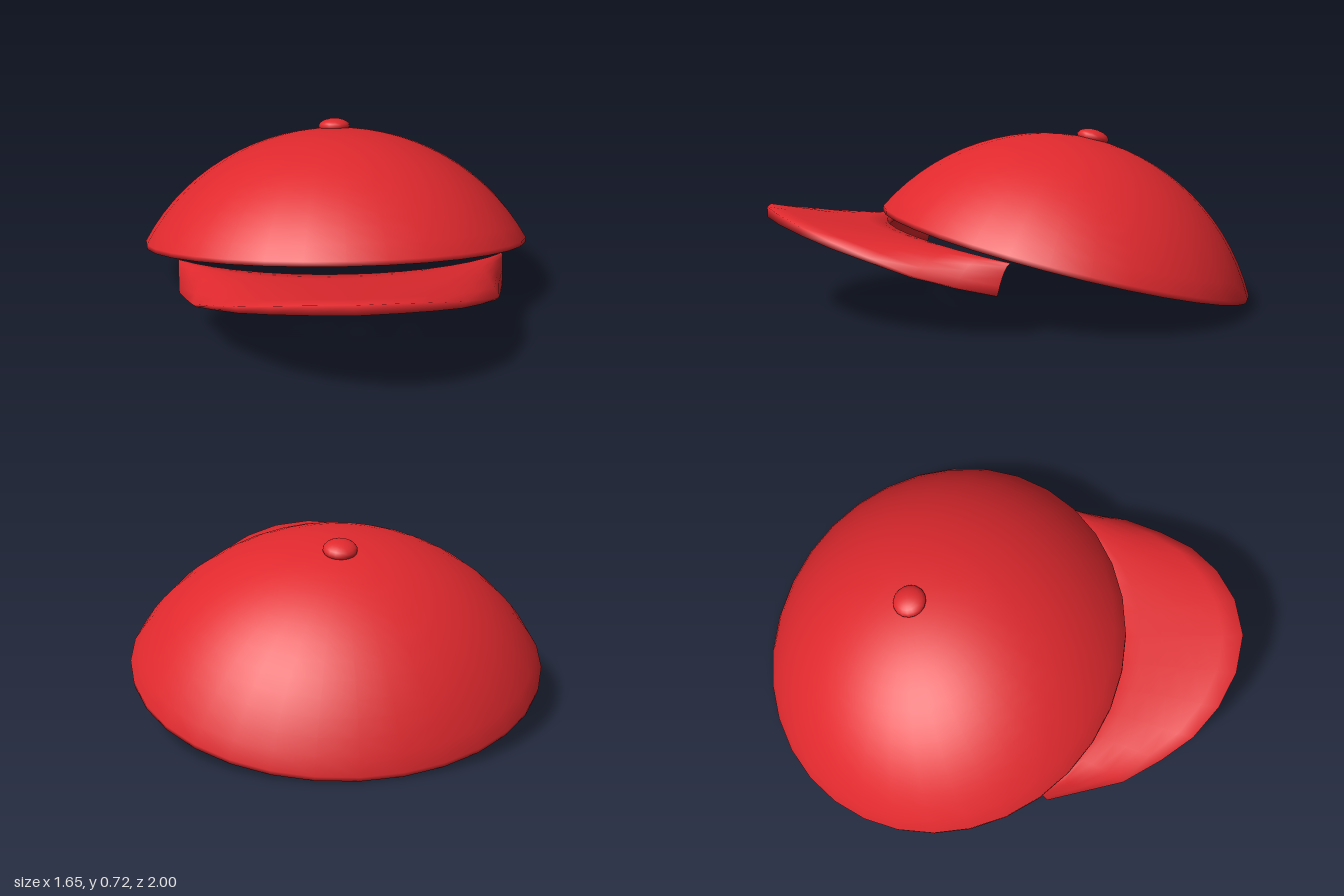
import * as THREE from 'three';

const red = new THREE.MeshStandardMaterial({ color: 0xe0292e });
const STEPS = 14, RIM_Y = 0.405, INNER_R = 0.858;

// Points on an arc from angle a0 to a1, measured from the pole
function arc(radius, a0, a1) {
  return Array.from({ length: STEPS + 1 }, (_, i) => {
    const a = THREE.MathUtils.lerp(a0, a1, i / STEPS);
    return new THREE.Vector2(radius * Math.sin(a), radius * Math.cos(a));
  });
}

// Sheet from the crown's rim to a rounded front edge that droops at the sides
function visorGeometry() {
  // x, y, z along the lower front edge
  const side = [[0.658, 0.158, 0.22], [0.624, 0.19, 0.37], [0.59, 0.232, 0.526], [0.508, 0.283, 0.675],
    [0.42, 0.325, 0.8], [0.3, 0.361, 0.9], [0.16, 0.385, 0.968]];
  const outline = [...side.map(([x, y, z]) => [-x, y, z]), [0, 0.393, 0.997], ...side.reverse()];
  const planeY = z => 0.285 + 0.18 * (z - 0.17);
  const cols = outline.length - 1, rows = 6, n = 2 * (rows + 1);
  const pos = [], index = [];

  outline.forEach(([outX, outY, outZ], j) => {
    const a = 0.935 * (2 * j / cols - 1);
    const inX = 0.82 * Math.sin(a), inZ = -0.33 + 0.835 * Math.cos(a);
    // the sheet thins towards the sides
    const thick = 0.004 + 0.037 * (1 - (outX / 0.66) ** 2);
    const drop = planeY(outZ) - outY - thick;
    const top = [], under = [];
    for (let i = 0; i <= rows; i++) {
      const s = i / rows;
      const x = THREE.MathUtils.lerp(inX, outX, s), z = THREE.MathUtils.lerp(inZ, outZ, s);
      const y = planeY(z) - drop * s ** 1.9;
      top.push([x, y, z]);
      under.unshift([x * 0.975, y - thick, z]);
    }
    pos.push(...top.flat(), ...under.flat());
  });
  for (let j = 0; j < cols; j++) {
    for (let i = 0; i < n; i++) {
      const a = j * n + i, b = j * n + (i + 1) % n;
      index.push(a, b, a + n, b, b + n, a + n);
    }
  }
  // end caps
  const e = cols * n;
  for (let i = 0; i < rows; i++) {
    const a = i, b = i + 1, c = n - 2 - i, d = n - 1 - i;
    index.push(a, c, b, a, d, c);
    index.push(e + a, e + b, e + c, e + a, e + c, e + d);
  }
  const geo = new THREE.BufferGeometry();
  geo.setAttribute('position', new THREE.Float32BufferAttribute(pos, 3));
  geo.setIndex(index);
  geo.computeVertexNormals();
  return geo;
}

function addMesh(parent, name, geometry) {
  const mesh = new THREE.Mesh(geometry, red);
  mesh.name = name;
  parent.add(mesh);
  return mesh;
}

export function createModel() {
  const model = new THREE.Group();
  model.name = 'cap';

  // crown and button share one backward tilt
  const head = new THREE.Group();
  head.name = 'tiltedCrown';
  head.position.set(0, -0.201, -0.137);
  head.rotation.x = -0.247;
  model.add(head);

  // outer shell with a short upright lip and a flat rim, then the lining
  const lining = arc(INNER_R, 0, Math.acos(RIM_Y / INNER_R));
  const shell = [lining[STEPS], new THREE.Vector2(0.793, RIM_Y), ...arc(0.902, 1.08, 0)];
  const crown = new THREE.Group();
  crown.name = 'crown';
  crown.scale.set(1.035, 1, 0.985);
  head.add(crown);
  addMesh(crown, 'crownShell', new THREE.LatheGeometry(shell, 32));
  addMesh(crown, 'crownLining', new THREE.LatheGeometry(lining, 32));

  const button = addMesh(head, 'topButton', new THREE.SphereGeometry(0.068, 16, 12));
  button.position.y = 0.908;
  button.scale.y = 0.5;

  addMesh(model, 'visor', visorGeometry());
  return model;
}
